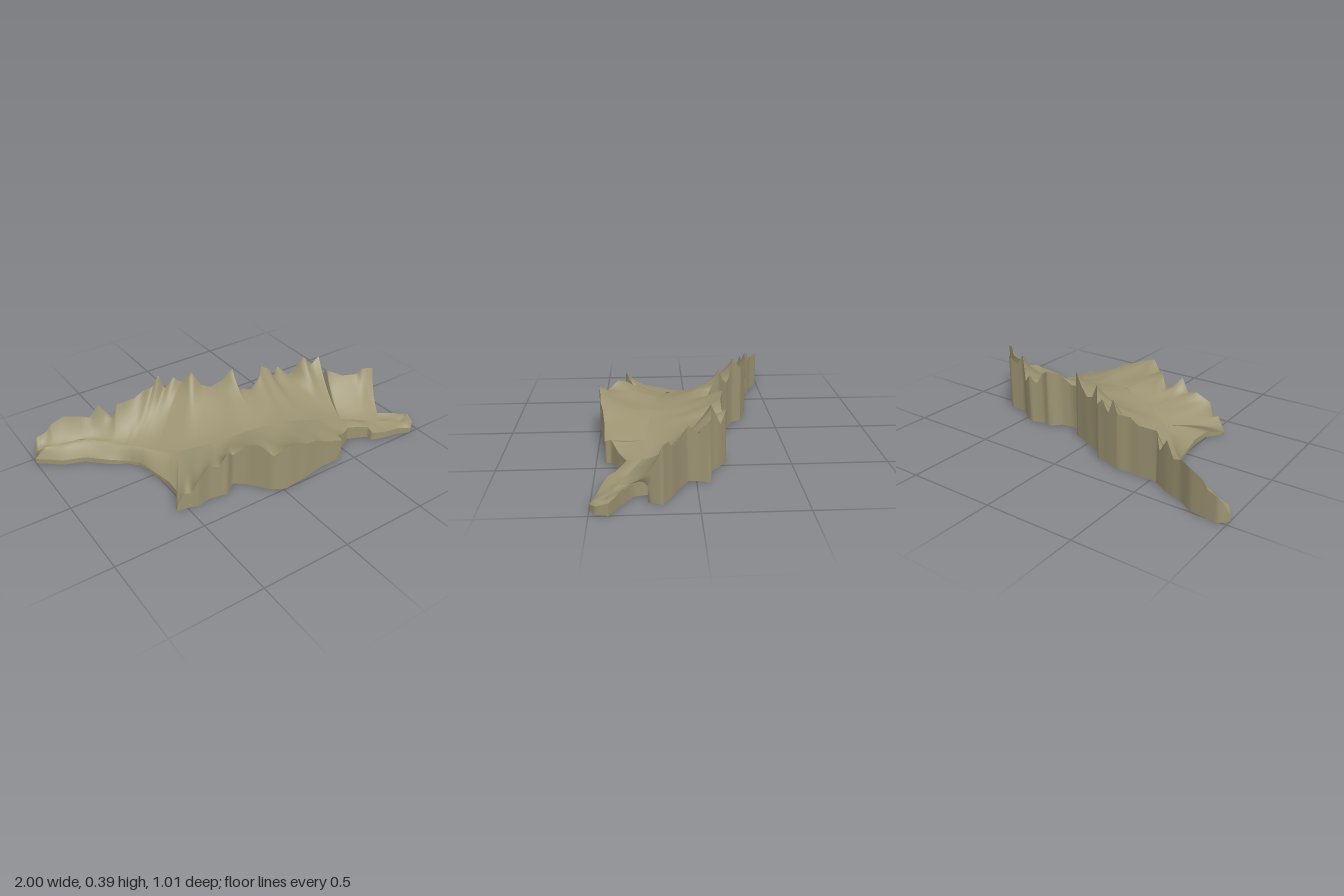
import * as THREE from 'three';

// Rim points running west to east: [x, z, height]
const backRim = [
  [-1, -0.46, 0.03], [-0.96, -0.51, 0.13], [-0.9, -0.505, 0.15], [-0.87, -0.5, 0.19], [-0.8, -0.49, 0.22],
  [-0.72, -0.44, 0.22], [-0.67, -0.425, 0.2], [-0.62, -0.405, 0.28], [-0.56, -0.37, 0.19], [-0.53, -0.35, 0.28],
  [-0.42, -0.35, 0.28], [-0.37, -0.345, 0.31], [-0.3, -0.355, 0.31], [-0.265, -0.345, 0.38], [-0.23, -0.335, 0.29],
  [-0.18, -0.32, 0.35], [-0.14, -0.31, 0.31], [-0.1, -0.255, 0.39], [-0.05, -0.23, 0.3], [0, -0.21, 0.28],
  [0.06, -0.18, 0.32], [0.115, -0.155, 0.39], [0.115, -0.11, 0.28], [0.2, -0.085, 0.26], [0.27, -0.1, 0.31],
  [0.32, -0.155, 0.34], [0.37, -0.14, 0.31], [0.41, -0.15, 0.24], [0.45, -0.165, 0.29], [0.51, -0.13, 0.23],
  [0.575, -0.075, 0.36], [0.63, -0.07, 0.29], [0.69, -0.07, 0.33], [0.675, -0.01, 0.25], [0.67, 0.04, 0.29],
  [0.75, 0.085, 0.25], [0.83, 0.12, 0.25], [0.86, 0.14, 0.29], [0.91, 0.17, 0.29], [0.88, 0.235, 0.08],
  [0.805, 0.225, 0.08], [0.82, 0.3, 0.07], [0.91, 0.36, 0.07], [1, 0.41, 0.06],
];
const frontRim = [
  [-1, -0.46, 0.03], [-0.88, -0.36, 0.03], [-0.77, -0.32, 0.03], [-0.665, -0.22, 0.03], [-0.575, -0.165, 0.02],
  [-0.53, -0.11, 0.02], [-0.505, 0.02, 0.02], [-0.49, 0.13, 0.03], [-0.495, 0.24, 0.03], [-0.565, 0.33, 0.02],
  [-0.52, 0.335, 0.1], [-0.48, 0.34, 0.09], [-0.45, 0.36, 0.16], [-0.37, 0.34, 0.21], [-0.31, 0.35, 0.19],
  [-0.265, 0.36, 0.27], [-0.195, 0.305, 0.19], [-0.14, 0.35, 0.25], [-0.1, 0.4, 0.27], [-0.05, 0.465, 0.22],
  [0.015, 0.5, 0.28], [0.09, 0.49, 0.26], [0.16, 0.485, 0.23], [0.23, 0.47, 0.21], [0.3, 0.46, 0.17],
  [0.435, 0.455, 0.12], [0.44, 0.42, 0.13], [0.52, 0.38, 0.09], [0.59, 0.34, 0.08], [0.695, 0.39, 0.07],
  [0.7, 0.43, 0.05], [0.78, 0.455, 0.04], [0.87, 0.47, 0.04], [0.94, 0.5, 0.03], [0.985, 0.47, 0.04], [1, 0.41, 0.06],
];
// Centre line of the valley floor, with a saddle in the middle
const floorLine = [
  [-0.94, -0.45, 0.09], [-0.75, -0.385, 0.11], [-0.56, -0.22, 0.1], [-0.4, 0, 0.1], [-0.2, 0.12, 0.16],
  [0, 0.18, 0.2], [0.2, 0.21, 0.2], [0.4, 0.24, 0.15], [0.6, 0.26, 0.09], [0.8, 0.37, 0.06], [0.93, 0.43, 0.05],
];

// Splits each segment of a polyline evenly
function subdivide(points, n) {
  const out = [];
  for (let i = 0; i < points.length - 1; i++) {
    for (let k = 0; k < n; k++) {
      out.push(points[i].map((v, c) => v + (points[i + 1][c] - v) * k / n));
    }
  }
  out.push(points[points.length - 1]);
  return out;
}

const rimBack = subdivide(backRim, 3);
const rimFront = subdivide(frontRim, 3);
const floor = subdivide(floorLine, 20);

// Nearest floor point for each rim point, never stepping backwards
function floorFor(rim) {
  let last = 0;
  return rim.map(([x, z], i) => {
    if (i === rim.length - 1) return floor[floor.length - 1];
    let best = last, bestD = Infinity;
    for (let k = last; k < floor.length; k++) {
      const d = Math.hypot(floor[k][0] - x, floor[k][1] - z);
      if (d < bestD) { bestD = d; best = k; }
    }
    last = best;
    return floor[best];
  });
}

function makeGeometry(positions, index) {
  const g = new THREE.BufferGeometry();
  g.setAttribute('position', new THREE.Float32BufferAttribute(positions, 3));
  g.setIndex(index);
  g.computeVertexNormals();
  return g;
}

// Joins rows of equal length into a skin
function skin(rows, flip) {
  const m = rows[0].length, index = [];
  for (let i = 0; i < rows.length - 1; i++) {
    for (let j = 0; j < m - 1; j++) {
      const a = i * m + j, b = a + m, c = a + 1, d = b + 1;
      if (flip) index.push(a, b, c, b, d, c);
      else index.push(a, c, b, b, c, d);
    }
  }
  return makeGeometry(rows.flat(2), index);
}

// Hillside from a rim down to the floor; jagged peaks fade out quickly
function hillside(rim, flip) {
  const feet = floorFor(rim), steps = 12;
  const rows = rim.map(([x, z, h], i) => {
    let sum = 0, count = 0;
    for (let k = Math.max(0, i - 5); k <= Math.min(rim.length - 1, i + 5); k++) { sum += rim[k][2]; count++; }
    const mean = sum / count, [fx, fz, fh] = feet[i];
    return Array.from({ length: steps + 1 }, (_, j) => {
      const t = (j / steps) ** 1.3, s = 1 - t;
      const px = x + (fx - x) * t, pz = z + (fz - z) * t;
      const ripple = 0.008 * Math.sin(px * 17 + pz * 9) * Math.sin(Math.PI * t);
      return [px, fh + (mean - fh) * s ** 1.5 + (h - mean) * s ** 5 + ripple, pz];
    });
  });
  return skin(rows, flip);
}

// Vertical cut face under a rim
function cliff(rim, flip) {
  return skin(rim.map(([x, z, h]) => [[x, h, z], [x, 0, z]]), flip);
}

export function createModel() {
  const group = new THREE.Group();
  const earth = new THREE.MeshStandardMaterial({ color: 0x9c9372, side: THREE.DoubleSide });
  earth.name = 'dry earth';
  const add = (name, geometry) => {
    const mesh = new THREE.Mesh(geometry, earth);
    mesh.name = name;
    group.add(mesh);
  };

  add('backHillside', hillside(rimBack, false));
  add('frontHillside', hillside(rimFront, true));
  add('backCliff', cliff(rimBack, true));
  add('frontCliff', cliff(rimFront, false));

  // Flat underside
  const outline = [...backRim, ...frontRim.slice(1, -1).reverse()].map(([x, z]) => new THREE.Vector2(x, z));
  add('underside', new THREE.ShapeGeometry(new THREE.Shape(outline)).rotateX(Math.PI / 2));
  return group;
}
